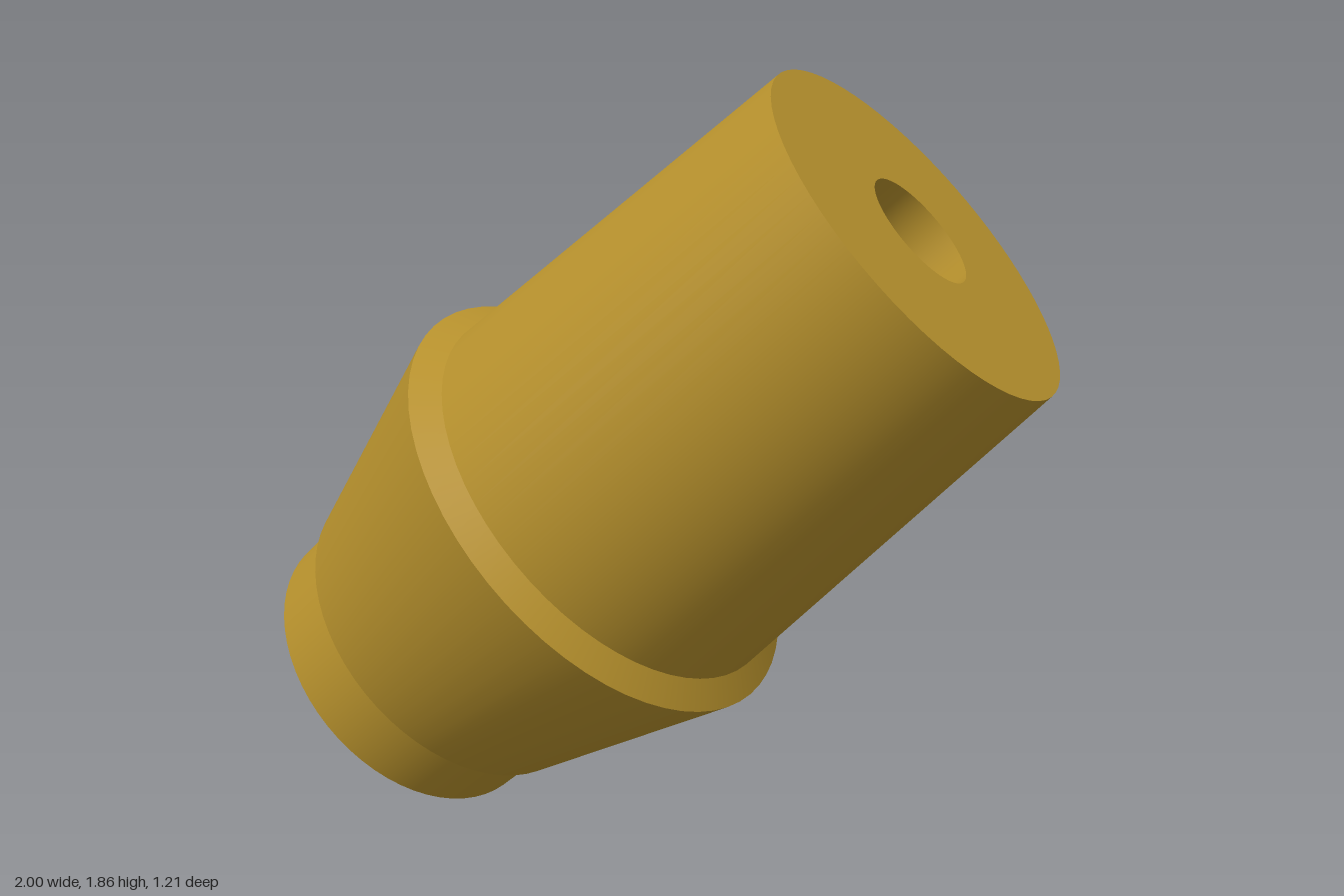
import * as THREE from 'three';
import { mergeGeometries } from 'three/addons/utils/BufferGeometryUtils.js';

const SEGMENTS = 64;

// Turned surface with a sharp edge at every profile point
function turned(profile) {
  const bands = [];
  for (let i = 0; i < profile.length - 1; i++) {
    const pair = [profile[i], profile[i + 1]].map(([r, h]) => new THREE.Vector2(r, h));
    bands.push(new THREE.LatheGeometry(pair, SEGMENTS));
  }
  return mergeGeometries(bands);
}

export function createModel() {
  const model = new THREE.Group();
  model.name = 'taperedPlug';
  const brass = new THREE.MeshStandardMaterial({ color: 0xb8922d });

  // [radius, distance along the axis], from the closed end to the bored end
  const parts = {
    baseCollar: [[0, 0], [0.421, 0], [0.421, 0.2]],
    flaredBody: [[0.421, 0.2], [0.455, 0.2], [0.604, 0.815]],
    shoulderBevel: [[0.604, 0.815], [0.539, 0.856]],
    taperedBarrel: [[0.539, 0.856], [0.455, 1.864]],
    endFace: [[0.455, 1.864], [0.145, 1.864]],
    blindBore: [[0.145, 1.864], [0.145, 0.9], [0, 0.9]],
  };

  // The whole part leans over towards +x
  const body = new THREE.Group();
  body.name = 'body';
  for (const [name, profile] of Object.entries(parts)) {
    const mesh = new THREE.Mesh(turned(profile), brass);
    mesh.name = name;
    body.add(mesh);
  }
  body.position.set(-0.733, 0.326, 0);
  body.rotation.z = -Math.atan2(0.774, 0.633);
  model.add(body);
  return model;
}
